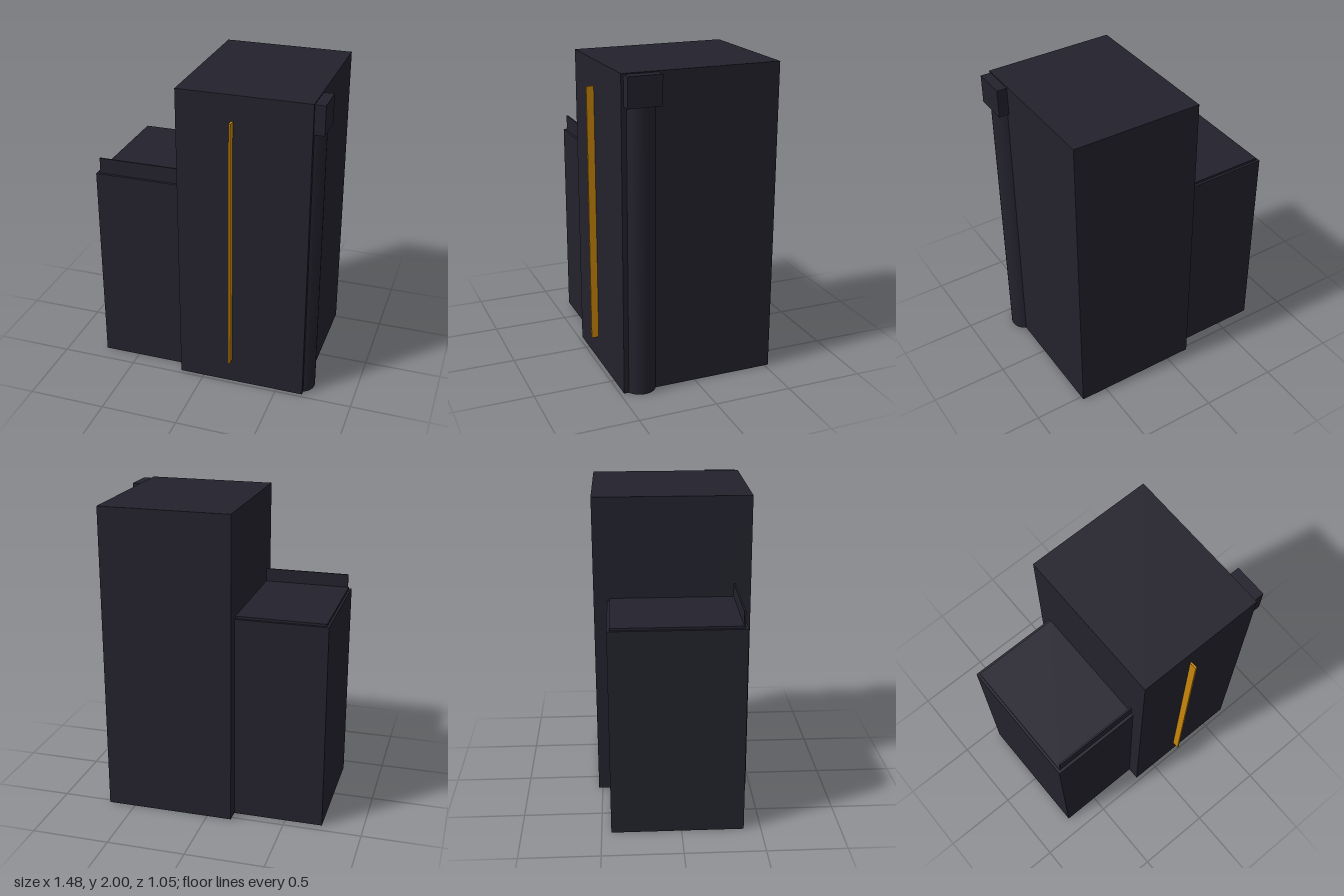
import * as THREE from 'three';

export function createModel() {
  const group = new THREE.Group();
  const dark = new THREE.MeshStandardMaterial({ color: 0x23222d });
  dark.name = 'charcoal';
  const gold = new THREE.MeshStandardMaterial({ color: 0xc8860a });
  gold.name = 'amber';

  // Box given by its limits on each axis
  function box(name, [x0, x1], [y0, y1], [z0, z1], material = dark) {
    const mesh = new THREE.Mesh(new THREE.BoxGeometry(x1 - x0, y1 - y0, z1 - z0), material);
    mesh.position.set((x0 + x1) / 2, (y0 + y1) / 2, (z0 + z1) / 2);
    mesh.name = name;
    group.add(mesh);
  }

  // Main tower and lower side wing
  box('tower', [-0.16, 0.675], [0, 2], [-0.525, 0.475]);
  box('sideWing', [-0.74, -0.16], [0, 1.335], [-0.44, 0.392]);

  // Inset roof slab of the wing with a thin parapet along its front
  box('wingRoof', [-0.725, -0.16], [1.335, 1.35], [-0.423, 0.375]);
  box('roofParapet', [-0.718, -0.16], [1.35, 1.437], [0.365, 0.375]);

  // Rounded pilaster half sunk in the tower's side, with a block on top
  const column = new THREE.Mesh(new THREE.CylinderGeometry(0.1, 0.1, 1.82, 32), dark);
  column.position.set(0.63, 0.91, 0.355);
  column.name = 'cornerColumn';
  group.add(column);
  box('columnCap', [0.6, 0.74], [1.81, 1.993], [0.247, 0.46]);

  // Slim fin standing out from the front
  box('frontFin', [0.186, 0.198], [0.167, 1.837], [0.475, 0.522], gold);

  return group;
}
